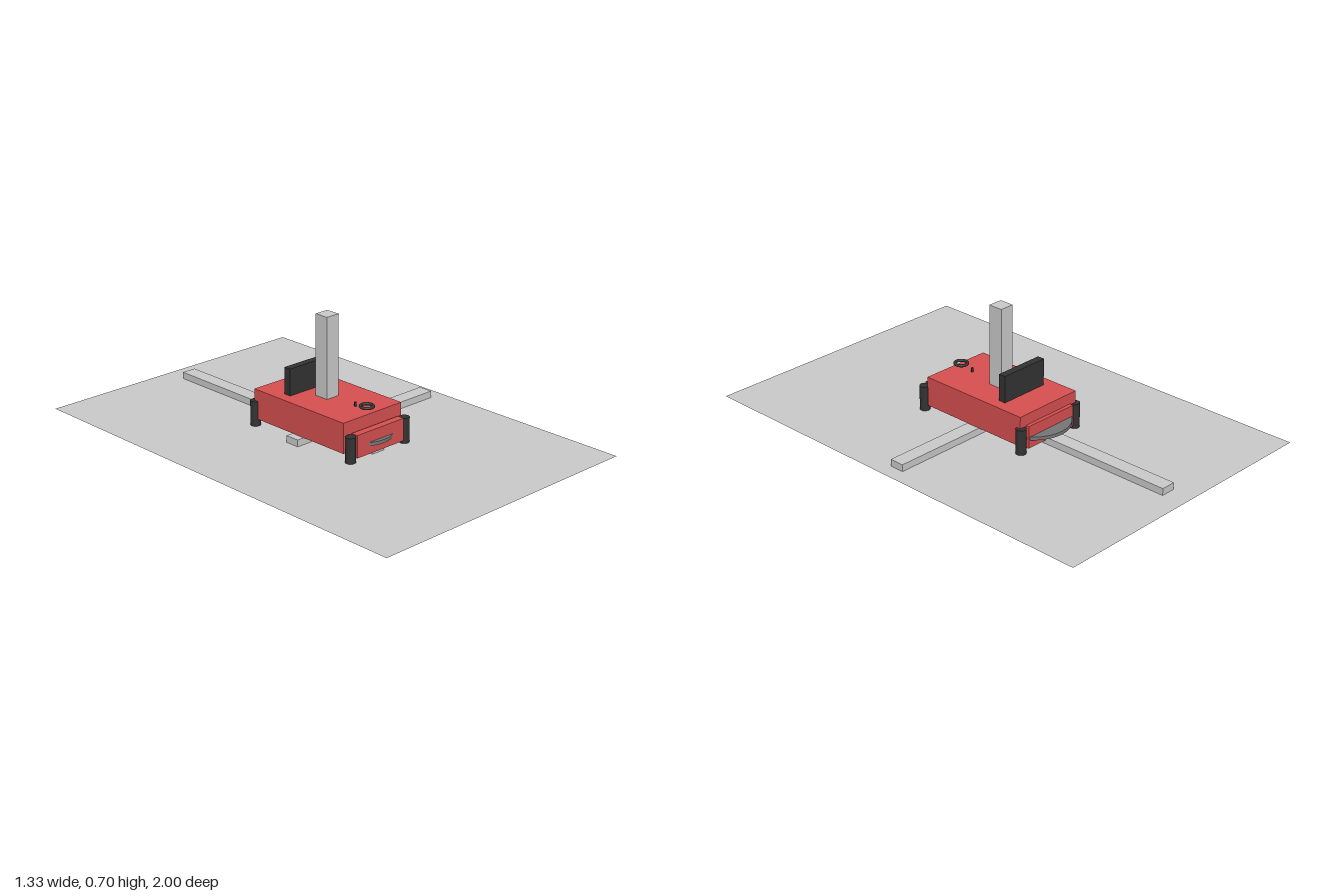
import * as THREE from 'three';

export function createModel() {
  const model = new THREE.Group();
  const grey = new THREE.MeshStandardMaterial({ color: 0xcccccc });
  const floorGrey = new THREE.MeshStandardMaterial({ color: 0xcccccc, side: THREE.DoubleSide });
  const red = new THREE.MeshStandardMaterial({ color: 0xd85050 });
  const dark = new THREE.MeshStandardMaterial({ color: 0x333333 });
  const bumperGrey = new THREE.MeshStandardMaterial({ color: 0x777777 });

  const add = (name, geometry, material, x, y, z) => {
    const mesh = new THREE.Mesh(geometry, material);
    mesh.name = name;
    mesh.position.set(x, y, z);
    model.add(mesh);
    return mesh;
  };
  const box = (name, w, h, d, material, x, y, z) =>
    add(name, new THREE.BoxGeometry(w, h, d), material, x, y, z);
  const disc = (name, r, h, material, x, y, z) =>
    add(name, new THREE.CylinderGeometry(r, r, h, 32), material, x, y, z);

  // Flat floor sheet
  add('floor', new THREE.PlaneGeometry(1.333, 2).rotateX(-Math.PI / 2), floorGrey, 0, 0.178, 0);

  // Three crossing beams, a quarter of each behind the origin
  const beam = 0.067;
  box('crossBeam', 0.8, beam, beam, grey, 0.2, 0.175, 0);
  box('uprightBeam', beam, 0.7, beam, grey, 0, 0.35, 0);
  box('lengthBeam', beam, beam, 1.2, grey, 0, 0.175, -0.3);

  // Cart body
  box('body', 0.333, 0.133, 0.533, red, 0, 0.275, 0);

  // Each end: end plate, half-hidden bumper disc and a pair of upright rollers
  const ends = [
    { name: 'front', z: 0.297, wheelX: 0.155, discR: 0.133, discZ: 0.2 },
    { name: 'rear', z: -0.267, wheelX: 0.162, discR: 0.165, discZ: -0.178 },
  ];
  for (const end of ends) {
    box(end.name + 'Plate', 0.267, 0.1, 0.033, red, 0, 0.243, end.z);
    disc(end.name + 'Bumper', end.discR, 0.015, bumperGrey, 0, 0.236, end.discZ);
    for (const side of [1, -1]) {
      disc(end.name + (side > 0 ? 'Left' : 'Right') + 'Wheel', 0.022, 0.113, dark,
        side * end.wheelX, 0.233, end.z);
    }
  }

  // Seat back
  box('seatBack', 0.233, 0.12, 0.033, dark, 0, 0.401, -0.117);

  // Steering wheel and its small column
  add('steeringWheel', new THREE.TorusGeometry(0.027, 0.0065, 12, 32).rotateX(Math.PI / 2),
    dark, 0, 0.36, 0.233);
  disc('steeringColumn', 0.005, 0.02, dark, 0, 0.35, 0.167);

  return model;
}
